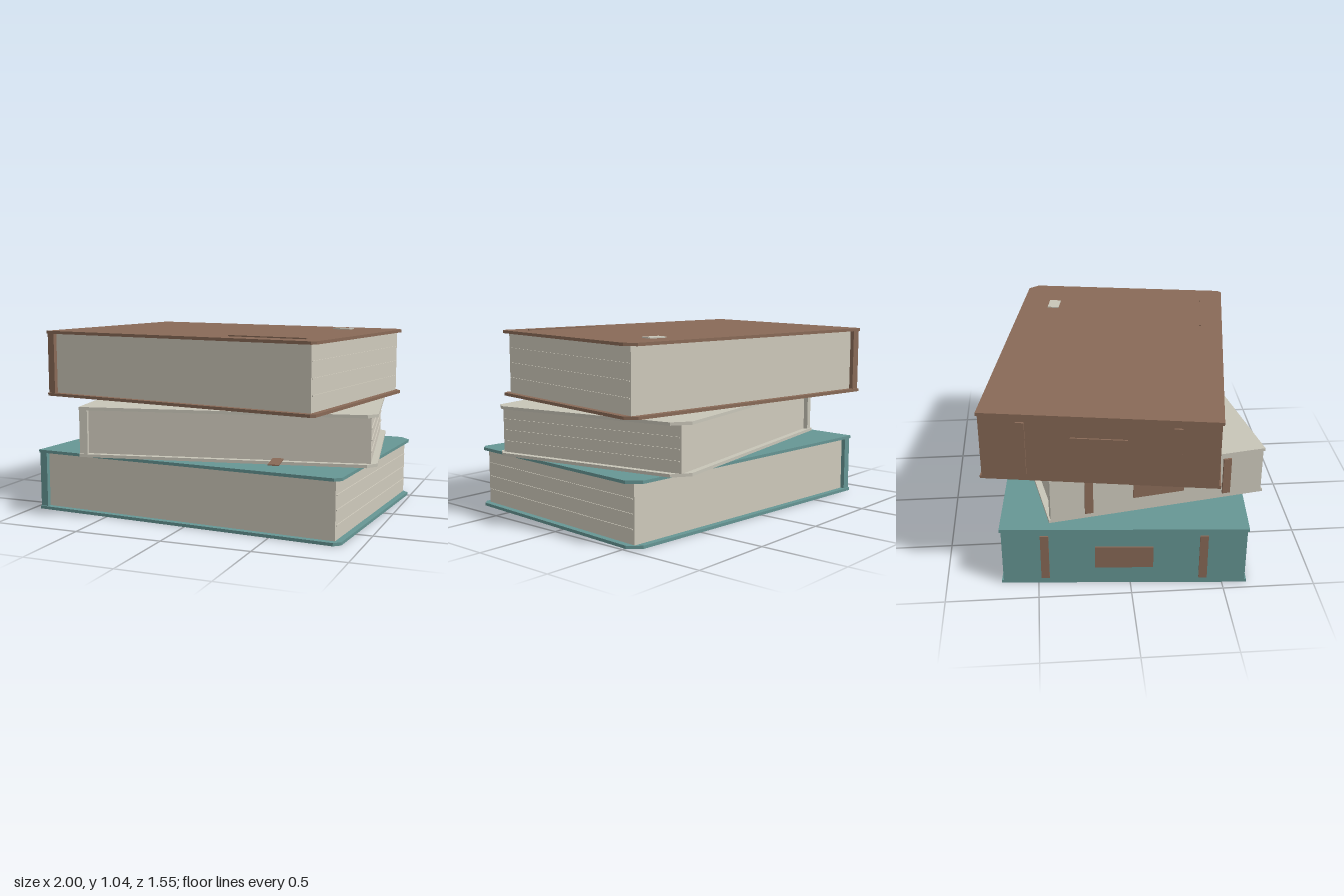
import * as THREE from 'three';

const mat = (name, color) => {
  const m = new THREE.MeshStandardMaterial({ color });
  m.name = name;
  return m;
};

export function createModel() {
  const teal = mat('teal cloth', 0x669694);
  const brown = mat('brown leather', 0x896a57);
  const ivory = mat('ivory cloth', 0xc8c5b8);
  const paper = mat('paper', 0xcfcabc);

  const model = new THREE.Group();
  model.name = 'bookStack';

  const box = (parent, name, material, size, pos) => {
    const m = new THREE.Mesh(new THREE.BoxGeometry(...size), material);
    m.name = name;
    m.position.set(...pos);
    parent.add(m);
    return m;
  };

  // Cover board: rectangle with the two fore-edge corners cut
  function coverGeometry(L, W, t, cutFront, cutBack) {
    const x = L / 2, z = W / 2;
    const s = new THREE.Shape([
      [-x, -z], [x - cutFront, -z], [x, -z + cutFront],
      [x, z - cutBack], [x - cutBack, z], [-x, z],
    ].map(p => new THREE.Vector2(...p)));
    return new THREE.ExtrudeGeometry(s, { depth: t, bevelEnabled: false }).rotateX(-Math.PI / 2);
  }

  // Book: spine on -x, fore edge on +x
  function book({ name, cloth, L, W, H, cut, pos, turn }) {
    const g = new THREE.Group();
    g.name = name;
    g.position.set(...pos);
    g.rotation.y = turn;
    model.add(g);

    const t = 0.017, spineT = 0.045, inset = 0.035, inner = H - 2 * t;
    const cover = coverGeometry(L, W, t, cut, cut + 0.03);
    [['bottomCover', 0], ['topCover', H - t]].forEach(([n, y]) => {
      const m = new THREE.Mesh(cover, cloth);
      m.name = n;
      m.position.y = y;
      g.add(m);
    });
    box(g, 'spine', cloth, [spineT, inner, W - 0.02], [-L / 2 + spineT / 2, H / 2, 0]);

    // Page block with thin ridges along the fore edge
    const pageL = L - spineT - inset, pageW = W - 2 * inset;
    box(g, 'pages', paper, [pageL, inner, pageW], [(spineT - inset) / 2, H / 2, 0]);
    for (let i = 1; i <= 3; i++) {
      box(g, 'pageRidge', paper, [0.01, 0.006, pageW - 0.02],
        [L / 2 - inset, t + inner * i / 4, 0]);
    }

    // Raised spine bands and blank label
    const sx = -L / 2 - 0.002;
    for (const side of [-1, 1]) {
      box(g, 'spineBand', brown, [0.018, H * 0.78, 0.045], [sx, H / 2, side * W * 0.32]);
    }
    box(g, 'spineLabel', brown, [0.014, H * 0.38, W * 0.235], [sx, H / 2, 0]);
    return g;
  }

  book({ name: 'bottomBook', cloth: teal, L: 1.85, W: 1.338, H: 0.352, cut: 0.034,
    pos: [0.015, 0, 0.033], turn: -0.072 });

  const middle = book({ name: 'middleBook', cloth: ivory, L: 1.64, W: 1.222, H: 0.281, cut: 0.053,
    pos: [0.092, 0.358, 0.022], turn: 0.181 });
  // Ribbon sticking out of the pages
  box(middle, 'bookmarkRibbon', brown, [0.06, 0.006, 0.19], [0.292, 0.026, 0.66]);

  const top = book({ name: 'topBook', cloth: brown, L: 1.76, W: 1.251, H: 0.387, cut: 0.023,
    pos: [-0.03, 0.646, -0.023], turn: -0.16 });
  // Cover decoration
  box(top, 'coverPlate', ivory, [0.11, 0.009, 0.068], [0.563, 0.389, -0.425]);
  box(top, 'coverRidge', brown, [0.47, 0.009, 0.014], [0.535, 0.389, 0.494]);

  return model;
}
